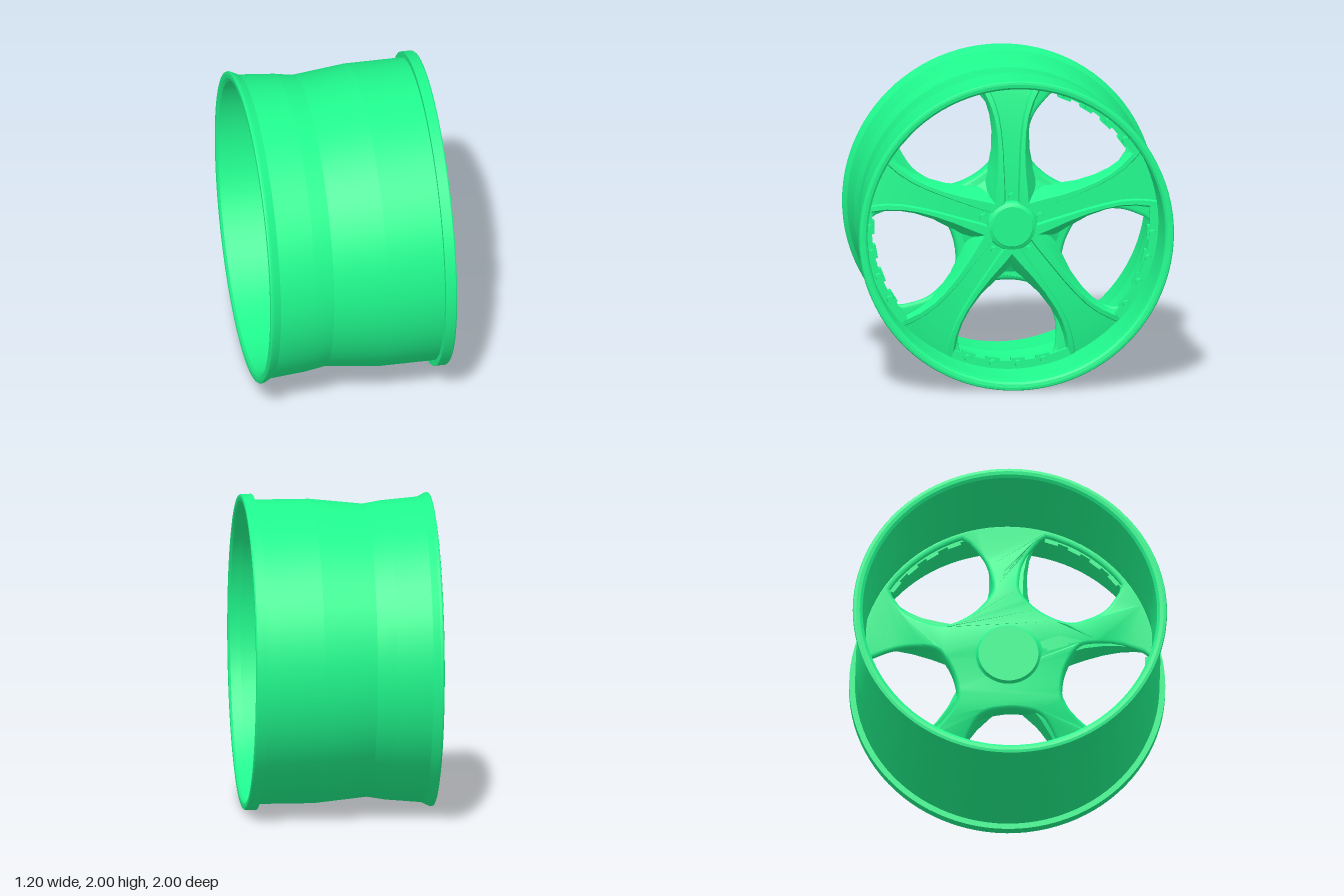
import * as THREE from 'three';
import { toCreasedNormals } from 'three/addons/utils/BufferGeometryUtils.js';

const TAU = Math.PI * 2, STEP = TAU / 5;
const material = new THREE.MeshStandardMaterial({ color: 0x20fa8e, side: THREE.DoubleSide });

const mesh = (name, geometry, crease = 0.55) => {
  const m = new THREE.Mesh(toCreasedNormals(geometry, crease), material);
  m.name = name;
  return m;
};
const vec = (x, y) => new THREE.Vector2(x, y);
const polar = (r, a) => vec(-r * Math.sin(a), r * Math.cos(a)); // angle measured from up

// Depth of the web's back and front: thick near the hub, thin at the rim
const webBack = r => 0.06 + 0.09 * THREE.MathUtils.smoothstep(r, 0.38, 0.8);
const webFront = r => 0.18 + 0.01 * THREE.MathUtils.smoothstep(r, 0.38, 0.8);

// Solid of revolution about the wheel axis, from [axial, radius] pairs
function turned(profile, segments = 72) {
  const pts = profile.map(([z, r]) => vec(r, z));
  return new THREE.LatheGeometry(pts, segments).rotateX(Math.PI / 2);
}

// Spoke lofted along its length: two rails beside a sunken channel, with sloping flanks
function spokeGeometry() {
  // distance, rail half width, channel half width, flank width, top height, channel depth
  const stations = [
    [0.10, 0.115, 0.040, 0.06, 0.300, 0.035],
    [0.22, 0.108, 0.040, 0.07, 0.300, 0.035],
    [0.35, 0.096, 0.045, 0.05, 0.295, 0.032],
    [0.48, 0.092, 0.050, 0.03, 0.287, 0.030],
    [0.60, 0.098, 0.060, 0.022, 0.277, 0.027],
    [0.70, 0.115, 0.075, 0.018, 0.265, 0.025],
    [0.79, 0.145, 0.100, 0.015, 0.250, 0.022],
    [0.87, 0.185, 0.135, 0.015, 0.234, 0.018],
    [0.95, 0.230, 0.170, 0.015, 0.216, 0.015],
  ];
  const pos = [], index = [], n = 12;
  stations.forEach(([u, w, c, s, top, d], j) => {
    const half = [
      [c, top - d], [c + 0.008, top], [w - 0.008, top], [w, top - 0.012],
      [w + s, webFront(u) - 0.01], [w, webBack(u) + 0.015],
    ];
    const ring = [...half.map(([v, h]) => [-v, h]).reverse(), ...half];
    for (const [v, h] of ring) {
      const y = j === stations.length - 1 ? Math.sqrt(u * u - v * v) : u;
      pos.push(v, y, h);
    }
    if (j) for (let i = 0; i < n; i++) {
      const a = (j - 1) * n + i, b = (j - 1) * n + (i + 1) % n;
      index.push(a, b, a + n, b, b + n, a + n);
    }
  });
  const g = new THREE.BufferGeometry();
  g.setAttribute('position', new THREE.Float32BufferAttribute(pos, 3));
  g.setIndex(index);
  return g;
}

// Disc with five rounded windows, thinned towards the rim
function webGeometry() {
  const side = [[0.306, 0.80], [0.308, 0.65], [0.255, 0.51], [0.172, 0.41]].map(p => vec(...p));
  const curve = new THREE.SplineCurve([
    ...side.map(p => vec(-p.x, p.y)), vec(0, 0.375), ...side.slice().reverse(),
  ]);
  const outline = curve.getPoints(40);
  for (let i = -8; i <= 8; i++) outline.push(polar(0.895, i * 0.041));
  const shape = new THREE.Shape().absarc(0, 0, 0.955, 0, TAU);
  for (let k = 0; k < 5; k++) {
    const turn = Math.PI + k * STEP - 0.03;
    shape.holes.push(new THREE.Path(outline.map(p => p.clone().rotateAround(vec(0, 0), turn))));
  }
  const g = new THREE.ExtrudeGeometry(shape, {
    depth: 0.3, bevelSize: 0.026, bevelOffset: -0.026, bevelThickness: 0.35, bevelSegments: 4, curveSegments: 72,
  });
  // The unit-thick plate is mapped between the back and front depths
  const p = g.attributes.position;
  for (let i = 0; i < p.count; i++) {
    const r = Math.hypot(p.getX(i), p.getY(i));
    p.setZ(i, THREE.MathUtils.lerp(webBack(r), webFront(r), p.getZ(i) + 0.35));
  }
  return g;
}

// Toothed strip along the outer edge of a window
const boltAngles = [-15.5, -5.2, 5.2, 15.5].map(a => THREE.MathUtils.degToRad(a - 2.3));
function stripGeometry() {
  const pts = [], end = 0.42, tooth = 0.05;
  for (let i = 0; i <= 16; i++) pts.push(polar(0.95, -end + i * end / 8));
  pts.push(polar(0.885, end));
  for (const a of boltAngles.slice().reverse()) {
    pts.push(polar(0.885, a + tooth), polar(0.868, a + tooth), polar(0.868, a - tooth), polar(0.885, a - tooth));
  }
  pts.push(polar(0.885, -end));
  return new THREE.ExtrudeGeometry(new THREE.Shape(pts), { depth: 0.06, bevelEnabled: false }).translate(0, 0, 0.17);
}

function bolt(name, r, a, z0, z1, radius) {
  const p = polar(r, a);
  const g = new THREE.CylinderGeometry(radius * 0.85, radius, z1 - z0, 12).rotateX(Math.PI / 2);
  return mesh(name, g.translate(p.x, p.y, (z0 + z1) / 2));
}

export function createModel() {
  const wheel = new THREE.Group();
  wheel.name = 'wheelRim';

  // Barrel: outer skin from back to front, then the inner skin back again
  wheel.add(mesh('barrel', turned([
    [-0.585, 0.932], [-0.597, 0.95], [-0.6, 0.972], [-0.597, 0.99], [-0.588, 0.994], [-0.575, 0.99], [-0.53, 0.967],
    [-0.30, 0.947], [-0.18, 0.927], [0.16, 0.963], [0.525, 0.963], [0.525, 1],
    [0.59, 1], [0.598, 0.994], [0.6, 0.98], [0.597, 0.96], [0.585, 0.947], [0.52, 0.94],
    [0.16, 0.935], [-0.18, 0.905], [-0.30, 0.918], [-0.53, 0.928], [-0.585, 0.932],
  ], 96), 0.075));

  // Windowed web behind the spokes
  wheel.add(mesh('web', webGeometry()));

  const spoke = spokeGeometry(), strip = stripGeometry();
  for (let k = 0; k < 5; k++) {
    const arm = new THREE.Group();
    arm.name = 'spokeSection';
    arm.rotation.z = k * STEP;
    arm.add(mesh('spoke', spoke), bolt('lugBolt', 0.19, 0, 0.25, 0.29, 0.024));

    // Bolted strip in the window opposite this spoke
    const edge = new THREE.Group();
    edge.name = 'windowEdge';
    edge.rotation.z = Math.PI;
    edge.add(mesh('boltStrip', strip));
    for (const a of boltAngles) edge.add(bolt('rimBolt', 0.9, a, 0.225, 0.257, 0.023));
    arm.add(edge);
    wheel.add(arm);
  }

  // Hub flowing down between the spokes, with its round centre cap
  wheel.add(mesh('hub', turned([
    [0.04, 0], [0.04, 0.19], [0.07, 0.21], [0.12, 0.33], [0.165, 0.345], [0.185, 0.31], [0.215, 0.265],
    [0.245, 0.225], [0.26, 0.19], [0.262, 0.16], [0.295, 0.155], [0.302, 0.148], [0.302, 0],
  ]), 0.8));
  wheel.add(mesh('centreCap', turned([[0.29, 0.133], [0.31, 0.133], [0.314, 0.128], [0.314, 0]])));

  // Axis along x, standing on the ground
  wheel.rotation.y = Math.PI / 2;
  wheel.position.y = 1;
  const model = new THREE.Group();
  model.name = 'model';
  model.add(wheel);
  return model;
}
